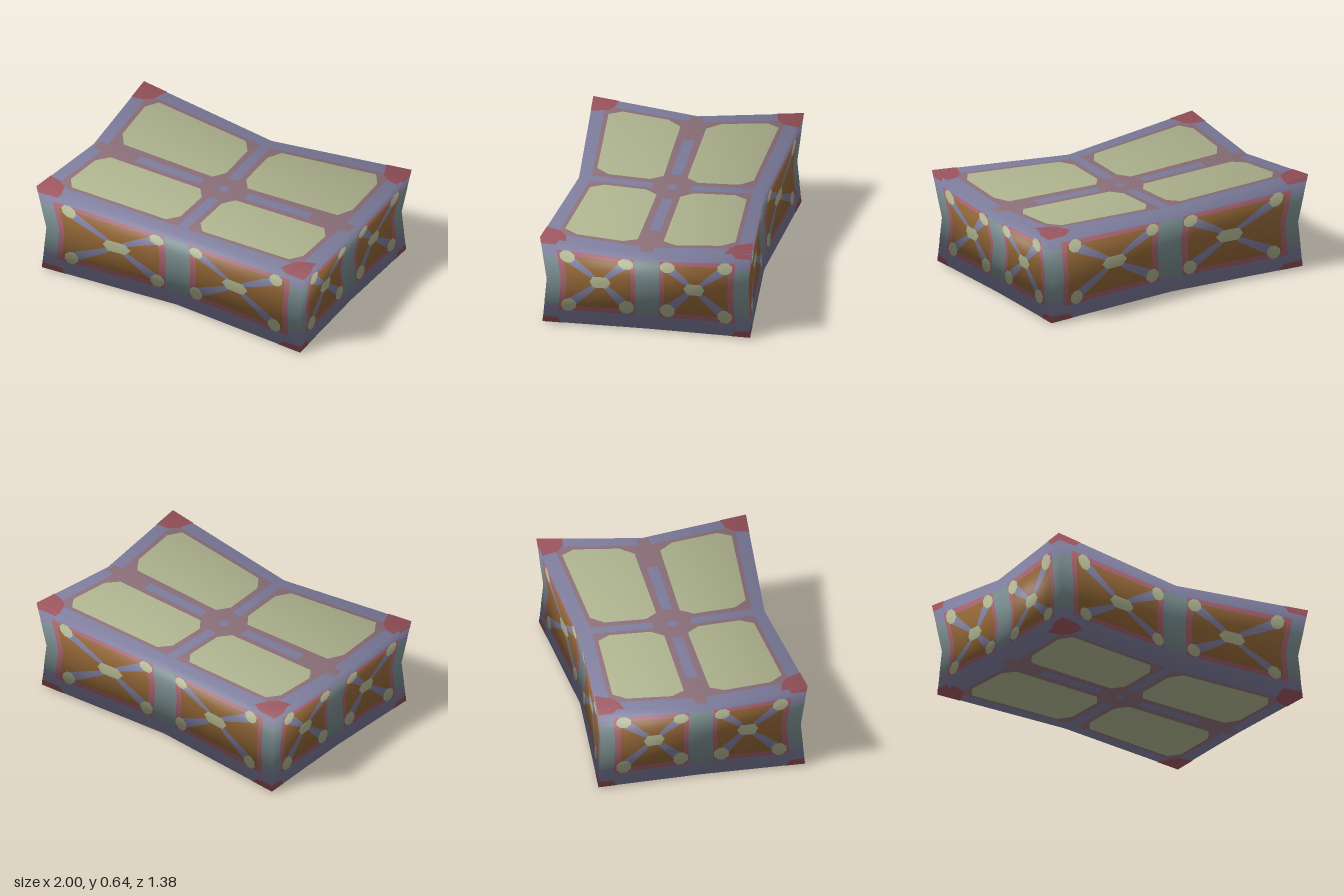
import * as THREE from 'three';
import { mergeGeometries } from 'three/addons/utils/BufferGeometryUtils.js';

const V = (x, y, z) => new THREE.Vector3(x, y, z);

// Control points of the pinched box: bottom, middle and top level for
// corners (11), front/back middles (01), side middles (10) and centres (00)
const LEVELS = {
  '11': [[0.965, 0.01, 0.68], [0.945, 0.31, 0.655], [1, 0.635, 0.69]],
  '01': [[0, 0.005, 0.605], [0, 0.31, 0.58], [0, 0.565, 0.61]],
  '10': [[0.945, 0.005, 0], [0.92, 0.31, 0], [0.975, 0.565, 0]],
  '00': [[0, 0, 0], [0, 0.31, 0], [0, 0.545, 0]],
};
const keyOf = (c) => `${c.x + 0},${c.y + 0},${c.z + 0}`;
function control(c) {
  const [x, y, z] = LEVELS[`${Math.abs(c.x)}${Math.abs(c.z)}`][c.y + 1];
  return V(x * Math.sign(c.x), y, z * Math.sign(c.z));
}

// Faces: outward axis o, then a and b with a x b = o
const FACES = [
  { kind: 'long', o: V(0, 0, 1), a: V(1, 0, 0), b: V(0, 1, 0) },
  { kind: 'long', o: V(0, 0, -1), a: V(-1, 0, 0), b: V(0, 1, 0) },
  { kind: 'short', o: V(1, 0, 0), a: V(0, 0, -1), b: V(0, 1, 0) },
  { kind: 'short', o: V(-1, 0, 0), a: V(0, 0, 1), b: V(0, 1, 0) },
  { kind: 'flat', o: V(0, 1, 0), a: V(1, 0, 0), b: V(0, 0, -1) },
  { kind: 'flat', o: V(0, -1, 0), a: V(1, 0, 0), b: V(0, 0, 1) },
];

// Every face is four mirrored quadrants
const QUADS = [];
for (const f of FACES) for (const su of [1, -1]) for (const sv of [1, -1]) {
  const cells = [[0, 0], [1, 0], [1, 1], [0, 1]].map(([u, v]) =>
    f.o.clone().addScaledVector(f.a, u * su).addScaledVector(f.b, v * sv));
  QUADS.push({ kind: f.kind, su, sv, keys: cells.map(keyOf), pts: cells.map(control) });
}

// Smooth normals shared between neighbouring quadrants
const NORMALS = {};
for (const q of QUADS) {
  const [p, r, s, t] = q.pts;
  const n = s.clone().sub(p).cross(t.clone().sub(r)).multiplyScalar(q.su * q.sv);
  for (const k of q.keys) (NORMALS[k] ??= V(0, 0, 0)).add(n);
}
for (const k in NORMALS) NORMALS[k].normalize();

const blend = (c, u, v) => V(0, 0, 0)
  .addScaledVector(c[0], (1 - u) * (1 - v)).addScaledVector(c[1], u * (1 - v))
  .addScaledVector(c[2], u * v).addScaledVector(c[3], (1 - u) * v);

// Convex outline laid on one quadrant as concentric rings, raised by lift
function patch(q, outline, lift, rings = 6) {
  const vScale = q.kind !== 'flat' && q.sv < 0 && outline.every((p) => p[1] < 0.84) ? 0.93 : 1;
  const edge = [];
  outline.forEach(([u, v], i) => {
    const [u2, v2] = outline[(i + 1) % outline.length];
    for (let s = 0; s < 5; s++) edge.push([u + (u2 - u) * s / 5, v + (v2 - v) * s / 5]);
  });
  const cu = outline.reduce((t, p) => t + p[0], 0) / outline.length;
  const cv = outline.reduce((t, p) => t + p[1], 0) / outline.length;
  const pos = [], nor = [], index = [];
  const add = (u, v) => {
    const n = blend(q.keys.map((k) => NORMALS[k]), u, v * vScale).normalize();
    pos.push(...blend(q.pts, u, v * vScale).addScaledVector(n, lift).toArray());
    nor.push(...n.toArray());
  };
  const tri = (a, b, c) => (q.su * q.sv > 0 ? index.push(a, b, c) : index.push(a, c, b));
  const m = edge.length;
  add(cu, cv);
  for (let r = 1; r <= rings; r++) {
    for (const [u, v] of edge) add(cu + (u - cu) * r / rings, cv + (v - cv) * r / rings);
    for (let i = 0; i < m; i++) {
      const j = (i + 1) % m, out = 1 + (r - 1) * m, inn = out - m;
      if (r === 1) tri(0, out + i, out + j);
      else {
        tri(inn + i, out + i, out + j);
        tri(inn + i, out + j, inn + j);
      }
    }
  }
  const g = new THREE.BufferGeometry();
  g.setAttribute('position', new THREE.Float32BufferAttribute(pos, 3));
  g.setAttribute('normal', new THREE.Float32BufferAttribute(nor, 3));
  g.setIndex(index);
  return g;
}

// Outline helpers, all counter-clockwise in quadrant coordinates
const rect = (u0, v0, u1, v1) => [[u0, v0], [u1, v0], [u1, v1], [u0, v1]];
const chamfered = (u0, v0, u1, v1, c, d) => [
  [u0 + c, v0], [u1 - c, v0], [u1, v0 + d], [u1, v1 - d],
  [u1 - c, v1], [u0 + c, v1], [u0, v1 - d], [u0, v0 + d]];
const spot = (u, v, ru, rv) => chamfered(u - ru, v - rv, u + ru, v + rv, ru * 0.6, rv * 0.6);
function strut(u0, v0, u1, v1, w0, w1, W, H) {
  const dx = (u1 - u0) * W, dy = (v1 - v0) * H, l = Math.hypot(dx, dy);
  const px = -dy / l / W, py = dx / l / H;
  return [[u0 - px * w0, v0 - py * w0], [u1 - px * w1, v1 - py * w1],
    [u1 + px * w1, v1 + py * w1], [u0 + px * w0, v0 + py * w0]];
}

// Painted layers of an upright quadrant
function sidePaint(long) {
  const W = long ? 0.95 : 0.66, H = 0.29;
  const [p0, p1, b0, b1, s0, s1] = long
    ? [0.095, 0.9, 0.145, 0.86, 0.15, 0.79] : [0.12, 0.86, 0.165, 0.8, 0.2, 0.76];
  const c = 0.465, ru = 0.047 / W;
  return [
    ['tealBands', 'teal', rect(0, 0, p0, 0.74), 1],
    ['tealBands', 'teal', rect(p1, 0, 1, 0.6), 1],
    ['cornerCaps', 'red', [[0.86, 0.88], [1, 0.86], [1, 1], [0.82, 1]], 1],
    ['panelFrames', 'pink', rect(p0, 0, p1, 0.75), 1],
    ['sidePanels', 'brown', rect(b0, 0, b1, 0.63), 2],
    ['panelStruts', 'slate', strut(c - 0.06, 0.12, s0, 0.56, 0.016, 0.035, W, H), 3],
    ['panelStruts', 'slate', strut(c + 0.06, 0.12, s1, 0.58, 0.016, 0.035, W, H), 3],
    ['panelStuds', 'cream', spot(s0, 0.57, ru, 0.15), 4],
    ['panelStuds', 'cream', spot(s1, 0.6, ru, 0.15), 4],
    ['panelStuds', 'cream', [[c - 0.105, 0], [c + 0.105, 0], [c + 0.065, 0.14], [c - 0.065, 0.14]], 4],
  ];
}

// Painted layers of a top or bottom quadrant
const FLAT_PAINT = [
  ['coverBorders', 'mauve', chamfered(0, 0, 0.91, 0.87, 0, 0), 1],
  ['coverBorders', 'mauve', rect(0.91, 0, 0.98, 0.06), 1],
  ['cornerCaps', 'red', [[0.86, 0.85], [0.92, 0.78], [1, 0.75], [1, 1], [0.82, 1]], 2],
  ['coverStrips', 'slate', rect(0, 0.2, 0.035, 0.87), 2],
  ['coverStrips', 'slate', rect(0.17, 0, 0.66, 0.055), 2],
  ['coverStrips', 'slate', [[0, 0], [0.04, 0], [0.02, 0.05], [0, 0.06]], 2],
  ['coverPanels', 'cream', chamfered(0.075, 0.125, 0.875, 0.825, 0.06, 0.13), 3],
];
FLAT_PAINT[0][2] = rect(0, 0, 0.91, 0.87);

export function createModel() {
  const group = new THREE.Group();
  group.name = 'pinchedCrate';
  const materials = {};
  const colours = {
    slate: 0x7c7b9b, teal: 0x748688, red: 0x98525c, pink: 0xa05f6b,
    brown: 0x8c6234, cream: 0xabb08c, mauve: 0x8a6e78,
  };
  for (const name in colours) {
    materials[name] = new THREE.MeshStandardMaterial({ color: colours[name] });
    materials[name].name = name;
  }

  const parts = {};
  const put = (name, colour, geometry) =>
    (parts[name] ??= { colour, list: [] }).list.push(geometry);
  const paint = { long: sidePaint(true), short: sidePaint(false), flat: FLAT_PAINT };
  for (const q of QUADS) {
    put('body', 'slate', patch(q, rect(0, 0, 1, 1), 0, 10));
    for (const [name, colour, outline, layer] of paint[q.kind])
      put(name, colour, patch(q, outline, layer * 0.0015));
  }
  for (const name in parts) {
    const mesh = new THREE.Mesh(mergeGeometries(parts[name].list), materials[parts[name].colour]);
    mesh.name = name;
    group.add(mesh);
  }
  return group;
}
